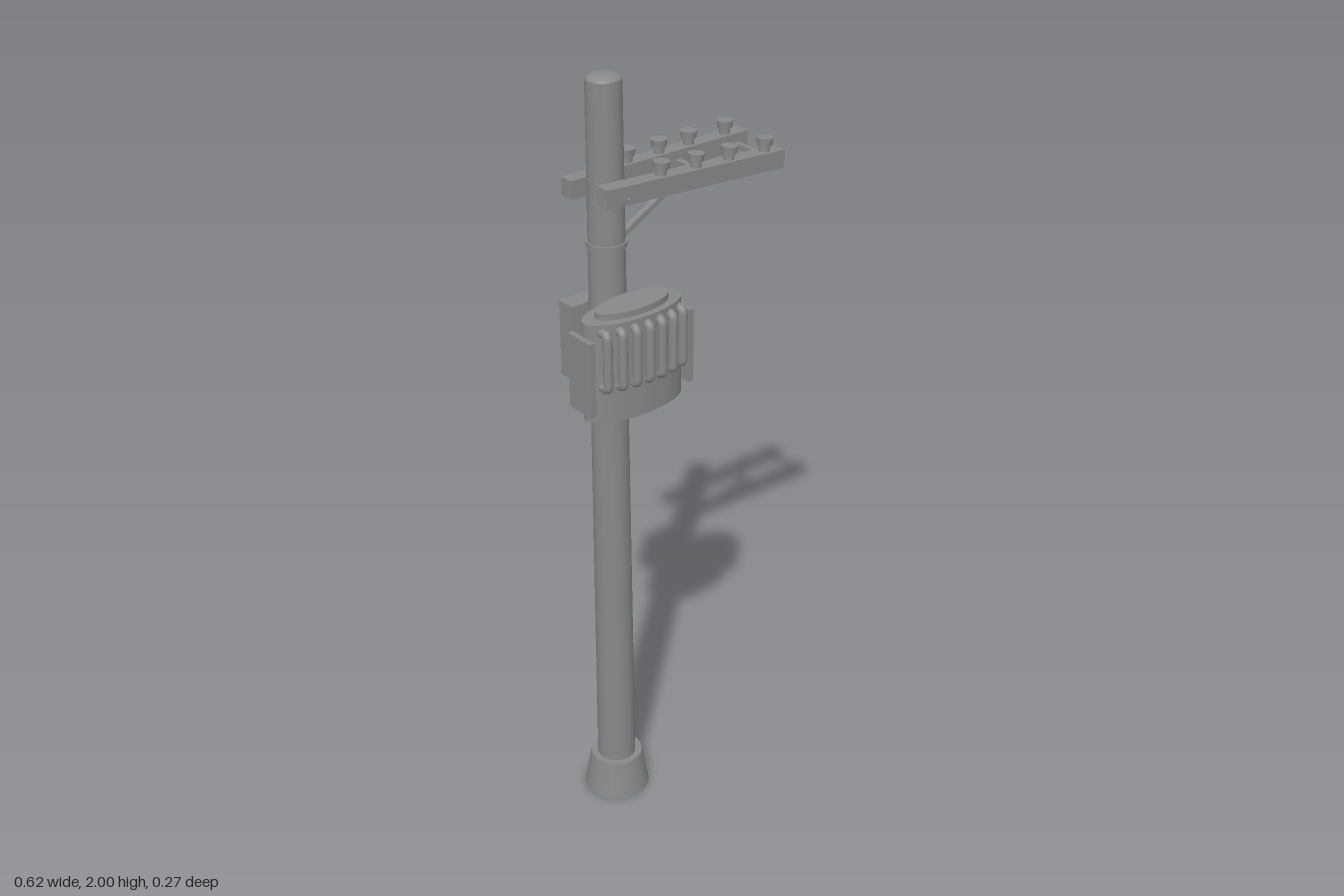
import * as THREE from 'three';

const PX = -0.158, PZ = -0.043; // pole axis

export function createModel() {
  const root = new THREE.Group();
  root.name = 'utilityPole';
  const mat = new THREE.MeshStandardMaterial({ color: 0x888888 });

  const add = (name, geo, x, y, z, parent = root) => {
    const m = new THREE.Mesh(geo, mat);
    m.name = name;
    m.position.set(x, y, z);
    parent.add(m);
    return m;
  };
  const box = (name, w, h, d, x, y, z, parent) =>
    add(name, new THREE.BoxGeometry(w, h, d), x, y, z, parent);
  const cyl = (name, rTop, rBottom, h, x, y, z, parent, seg = 32) =>
    add(name, new THREE.CylinderGeometry(rTop, rBottom, h, seg), x, y, z, parent);
  const ellipse = (name, rx, rz, y0, y1, x, z, parent) =>
    add(name, new THREE.CylinderGeometry(1, 1, y1 - y0, 48).scale(rx, 1, rz), x, (y0 + y1) / 2, z, parent);

  // Pole with flared foot and shallow domed cap
  cyl('foot', 0.068, 0.086, 0.105, PX, 0.0525, PZ);
  cyl('pole', 0.042, 0.051, 1.985, PX, 0.9925, PZ);
  const dome = new THREE.SphereGeometry(0.042, 32, 8, 0, Math.PI * 2, 0, Math.PI / 2);
  add('poleCap', dome.scale(1, 0.015 / 0.042, 1), PX, 1.985, PZ);

  // Two crossarms, the front one tilted, each carrying four insulators
  const crossarm = (name, y, z, tilt, xs) => {
    const arm = new THREE.Group();
    arm.name = name;
    arm.position.set(0.045, y, z);
    arm.rotation.z = tilt;
    root.add(arm);
    box('beam', 0.527, 0.045, 0.04, 0, 0, 0, arm);
    for (const x of xs) {
      cyl('insulatorNeck', 0.013, 0.013, 0.02, x - 0.045, 0.03, 0, arm, 20);
      cyl('insulatorHead', 0.02, 0.018, 0.018, x - 0.045, 0.047, 0, arm, 24);
    }
  };
  crossarm('backCrossarm', 1.724, -0.11, 0, [-0.045, 0.05, 0.14, 0.252]);
  crossarm('frontCrossarm', 1.728, 0.023, -0.055, [-0.052, 0.05, 0.15, 0.26]);
  const bolt = cyl('throughBolt', 0.004, 0.004, 0.185, PX, 1.73, PZ, root, 12);
  bolt.rotation.x = Math.PI / 2;

  // Spacers between the arms and the diagonal brace with its collar
  for (const x of [0.092, 0.273]) box('armSpacer', 0.014, 0.014, 0.1, x, 1.718, -0.043);
  const from = new THREE.Vector2(-0.12, 1.6), to = new THREE.Vector2(0.092, 1.718);
  const span = to.clone().sub(from);
  const brace = box('diagonalBrace', span.length(), 0.014, 0.016,
    (from.x + to.x) / 2, (from.y + to.y) / 2, -0.045);
  brace.rotation.z = span.angle();
  cyl('braceCollar', 0.048, 0.048, 0.012, PX, 1.598, PZ);

  // Transformer: oval tank, lid, side panels and mounting plate
  const tank = new THREE.Group();
  tank.name = 'transformer';
  root.add(tank);
  const TX = -0.16, TZ = 0.052, RX = 0.138, RZ = 0.058;
  ellipse('tank', RX, RZ, 1.218, 1.47, TX, TZ, tank);
  ellipse('tankLid', 0.102, 0.042, 1.47, 1.486, TX, TZ, tank);
  box('mountingPlate', 0.19, 0.19, 0.012, TX, 1.34, 0.001, tank);
  for (const s of [-1, 1]) box('sidePanel', 0.014, 0.19, 0.084, TX + s * 0.144, 1.34, 0.05, tank);

  // Cooling tubes with tight bends along the front of the tank
  const BEND = 0.012;
  for (let i = -3; i <= 3; i++) {
    const dx = i * 0.0365;
    const zIn = TZ + RZ * Math.sqrt(1 - (dx / RX) ** 2) - 0.02;
    const zOut = 0.12 - 0.0019 * i * i;
    const v = (y, z) => new THREE.Vector3(TX + dx, y, z);
    const top = 1.45, low = 1.31;
    const path = new THREE.CurvePath();
    path.add(new THREE.LineCurve3(v(top, zIn), v(top, zOut - BEND)));
    path.add(new THREE.QuadraticBezierCurve3(v(top, zOut - BEND), v(top, zOut), v(top - BEND, zOut)));
    path.add(new THREE.LineCurve3(v(top - BEND, zOut), v(low + BEND, zOut)));
    path.add(new THREE.QuadraticBezierCurve3(v(low + BEND, zOut), v(low, zOut), v(low, zOut - BEND)));
    path.add(new THREE.LineCurve3(v(low, zOut - BEND), v(low, zIn)));
    add('coolingTube', new THREE.TubeGeometry(path, 64, 0.0115, 12), 0, 0, 0, tank);
  }

  // Control box behind the pole, with lugs holding box and tank
  box('controlBox', 0.15, 0.195, 0.05, -0.157, 1.342, -0.11);
  for (const y of [1.28, 1.4]) {
    box('boxLug', 0.05, 0.02, 0.04, PX, y, -0.075);
    box('tankLug', 0.08, 0.02, 0.03, PX, y, -0.012);
  }
  return root;
}
